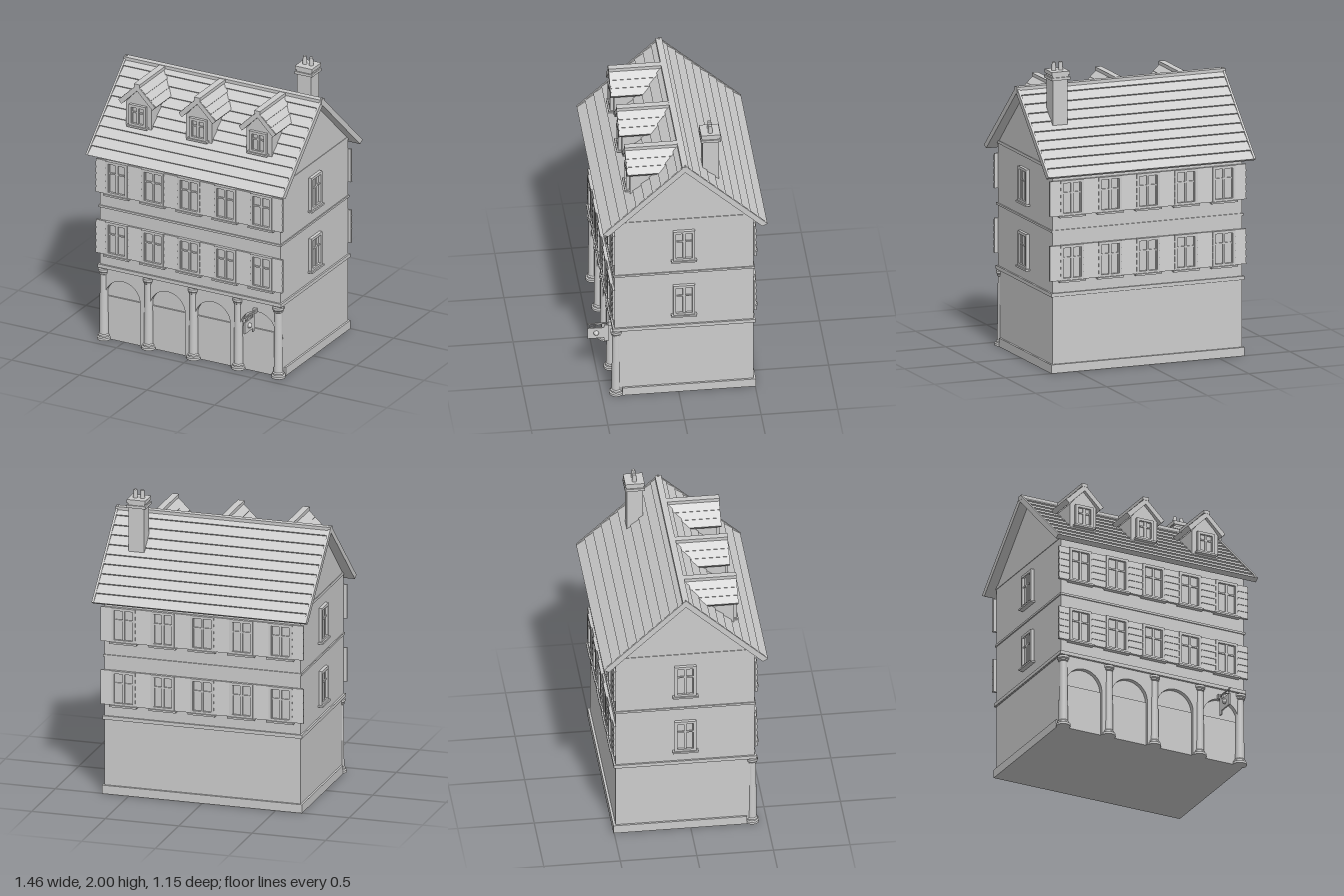
import * as THREE from 'three';

const stone = new THREE.MeshStandardMaterial({ color: 0xcccccc });
stone.name = 'pale grey stone';

const RIDGE_Z = -0.0375, SLOPE = 0.93;
const FRONT = 0.418, BACK = -0.49, HALF = 0.667;

function add(parent, name, geometry, x = 0, y = 0, z = 0) {
  const mesh = new THREE.Mesh(geometry, stone);
  mesh.name = name;
  mesh.position.set(x, y, z);
  parent.add(mesh);
  return mesh;
}

function box(parent, name, w, h, d, x, y, z) {
  return add(parent, name, new THREE.BoxGeometry(w, h, d), x, y, z);
}

function shapeOf(points) {
  return new THREE.Shape(points.map(([a, b]) => new THREE.Vector2(a, b)));
}

function extrude(shape, depth) {
  return new THREE.ExtrudeGeometry(shape, { depth, bevelEnabled: false, curveSegments: 16 });
}

// Profile drawn in (z, y), swept along x and centred
function extrudeX(points, width) {
  return extrude(shapeOf(points), width).translate(0, 0, -width / 2).rotateY(-Math.PI / 2);
}

// Framed casement window, standing on its sill and facing +z
function makeWindow(w, h) {
  const g = new THREE.Group();
  g.name = 'window';
  const t = 0.018;
  const frame = shapeOf([[-w / 2, 0], [w / 2, 0], [w / 2, h], [-w / 2, h]]);
  frame.holes.push(shapeOf([[-w / 2 + t, t], [-w / 2 + t, h - t], [w / 2 - t, h - t], [w / 2 - t, t]]));
  add(g, 'windowFrame', extrude(frame, 0.022));
  box(g, 'windowPane', w - 0.02, h - 0.02, 0.006, 0, h / 2, 0.003);
  box(g, 'windowMullion', 0.016, h - 0.03, 0.016, 0, h / 2, 0.008);
  box(g, 'windowTransom', w - 0.03, 0.01, 0.014, 0, h * 0.64, 0.007);
  for (const s of [-1, 1]) {
    box(g, 'sashStile', 0.006, h - 0.03, 0.013, s * (w / 2 - t - 0.002), h / 2, 0.0065);
  }
  box(g, 'windowSill', w + 0.024, 0.012, 0.032, 0, -0.003, 0.016);
  return g;
}

// One storey of five windows with louvred shutters between them
function makeStorey(y) {
  const g = new THREE.Group();
  g.name = 'storeyWindows';
  const xs = [-0.534, -0.267, 0, 0.267, 0.534], w = 0.16, h = 0.235;
  for (const x of xs) {
    const win = makeWindow(w, h);
    win.position.set(x, y, 0);
    g.add(win);
  }
  for (let i = 0; i <= xs.length; i++) {
    const a = i === 0 ? -0.69 : xs[i - 1] + w / 2;
    const b = i === xs.length ? 0.69 : xs[i] - w / 2;
    for (let k = 0; k < 5; k++) {
      const y0 = y + 0.002 + k * 0.0465, y1 = y0 + 0.0465;
      const board = extrudeX([[0, y0], [0.018, y0], [0.013, y1], [0, y1]], b - a);
      add(g, 'shutterBoard', board, (a + b) / 2);
    }
  }
  return g;
}

function makeColumn() {
  const profile = [[0, 0], [0.047, 0], [0.047, 0.016], [0.038, 0.022], [0.038, 0.032], [0.031, 0.04],
    [0.026, 0.46], [0.032, 0.465], [0.032, 0.474], [0.038, 0.482], [0.038, 0.498], [0, 0.498]];
  // Doubled corners keep the mouldings crisp
  const pts = profile.flatMap(([r, y]) => [new THREE.Vector2(r, y), new THREE.Vector2(r, y)]);
  return new THREE.LatheGeometry(pts, 20);
}

// Four-arched facade outline
function makeFacade() {
  const s = new THREE.Shape();
  s.moveTo(-HALF, 0);
  for (const x of [-0.5, -0.167, 0.167, 0.5]) {
    s.lineTo(x - 0.13, 0);
    s.lineTo(x - 0.13, 0.305);
    s.absarc(x, 0.305, 0.13, Math.PI, 0, true);
    s.lineTo(x + 0.13, 0);
  }
  s.lineTo(HALF, 0);
  s.lineTo(HALF, 1.36);
  s.lineTo(-HALF, 1.36);
  return extrude(s, 0.03);
}

function makeRoof() {
  const g = new THREE.Group();
  g.name = 'roof';
  const top = d => 1.82 - SLOPE * d, eave = 0.5375;
  const chevron = [[-eave, top(eave)], [-0.503, 1.302], [0, 1.77], [0.503, 1.302], [eave, top(eave)], [0, top(0)]];
  for (const s of [-1, 1]) {
    add(g, 'vergeBoard', extrudeX(chevron, 0.014), s * 0.723, 0, RIDGE_Z);
    // Overlapping tile courses
    const pts = [[0, 1.77]];
    const n = 10;
    for (let i = 0; i < n; i++) {
      const a = eave * i / n, b = eave * (i + 1) / n;
      pts.push([a - 0.007, top(a) - 0.0085], [b - 0.001, top(b) - 0.001]);
    }
    pts[1] = [0, top(0) - 0.012];
    pts.push([0.503, 1.302]);
    add(g, 'roofTiles', extrudeX(pts.map(([d, y]) => [s * d, y]), 1.435), 0, 0, RIDGE_Z);
  }
  box(g, 'ridgeCap', 1.464, 0.032, 0.042, 0, 1.798, RIDGE_Z);
  return g;
}

function makeDormer() {
  const g = new THREE.Group();
  g.name = 'dormer';
  const body = shapeOf([[-0.095, 1.45], [0.095, 1.45], [0.095, 1.66], [0, 1.775], [-0.095, 1.66]]);
  add(g, 'dormerBody', extrude(body, 0.3));
  for (const s of [-1, 1]) {
    const pts = [[0, 1.805], [s * 0.135, 1.672], [s * 0.114, 1.648], [0, 1.762]];
    add(g, 'dormerRoof', extrude(shapeOf(pts), 0.345), 0, 0, -0.02);
    // Narrow tile strips stepping down the slope
    for (let k = 0; k < 3; k++) {
      const a = 0.02 + k * 0.0383, b = a + 0.0383, y = x => 1.805 - 0.985 * x;
      add(g, 'dormerTileStrip', extrude(shapeOf([[s * a, y(a)], [s * (b + 0.003), y(b) + 0.002],
        [s * b, y(b) - 0.004], [s * a, y(a) - 0.004]]), 0.33), 0, 0, -0.01);
    }
  }
  box(g, 'dormerRidgeCap', 0.044, 0.022, 0.36, 0, 1.8, 0.147);
  const win = makeWindow(0.125, 0.148);
  win.position.set(0, 1.508, 0.3);
  g.add(win);
  return g;
}

function makeChimney() {
  const g = new THREE.Group();
  g.name = 'chimney';
  box(g, 'chimneyShaft', 0.105, 0.42, 0.105, 0, 1.68, 0);
  box(g, 'chimneyLowerBand', 0.13, 0.018, 0.13, 0, 1.899, 0);
  box(g, 'chimneyNeck', 0.112, 0.03, 0.112, 0, 1.912, 0);
  box(g, 'chimneyCap', 0.126, 0.024, 0.126, 0, 1.934, 0);
  for (const s of [-1, 1]) {
    add(g, 'chimneyPot', new THREE.CylinderGeometry(0.012, 0.016, 0.056, 14), s * 0.024, 1.972, 0);
  }
  return g;
}

function makeSign() {
  const g = new THREE.Group();
  g.name = 'hangingSign';
  box(g, 'signWallPlate', 0.026, 0.03, 0.02, 0, 0.445, 0.428);
  box(g, 'signBracket', 0.008, 0.008, 0.155, 0, 0.446, 0.4975);
  const strut = box(g, 'signStrut', 0.006, 0.006, 0.075, 0, 0.432, 0.515);
  strut.rotation.x = 0.35;
  box(g, 'signWallBar', 0.008, 0.125, 0.03, 0, 0.37, 0.448);
  for (const z of [0.48, 0.56]) box(g, 'signHanger', 0.004, 0.04, 0.004, 0, 0.425, z);
  box(g, 'signBoard', 0.01, 0.08, 0.108, 0, 0.373, 0.518);
  const boss = add(g, 'signBoss', new THREE.SphereGeometry(0.018, 16, 12), 0, 0.375, 0.516);
  boss.scale.x = 1.45;
  return g;
}

export function createModel() {
  const model = new THREE.Group();
  model.name = 'townHouse';

  // Walls
  const inner = FRONT - 0.03;
  add(model, 'houseBody', extrudeX([[BACK, 0], [inner, 0], [inner, 1.37], [RIDGE_Z, 1.78], [BACK, 1.355]], HALF * 2));
  add(model, 'arcadeFacade', makeFacade(), 0, 0, inner);
  for (const x of [-0.5, -0.167, 0.167, 0.5]) {
    box(model, 'arcadeDoor', 0.26, 0.305, 0.01, x, 0.1525, inner + 0.005);
  }

  // Plinth and string courses
  const midZ = (FRONT + BACK) / 2, depth = FRONT - BACK;
  box(model, 'plinthBack', HALF * 2 + 0.026, 0.058, 0.03, 0, 0.029, BACK);
  for (const s of [-1, 1]) box(model, 'plinthSide', 0.026, 0.058, 0.87, s * HALF, 0.029, -0.068);
  for (const [y, h, out] of [[0.518, 0.024, 0.012], [0.508, 0.008, 0.006], [0.94, 0.014, 0.008], [1.352, 0.02, 0.004]]) {
    box(model, 'stringCourse', (HALF + out) * 2, h, depth + out * 2, 0, y, midZ);
  }

  // Columns
  const column = makeColumn();
  for (const x of [-0.645, -0.315, 0.018, 0.35, 0.645]) add(model, 'column', column, x, 0, 0.404);

  // Windows on all four sides
  for (const y of [0.61, 1.04]) {
    const front = makeStorey(y), back = makeStorey(y);
    front.position.z = FRONT;
    back.position.z = BACK;
    back.rotation.y = Math.PI;
    model.add(front, back);
    for (const s of [-1, 1]) {
      const win = makeWindow(0.142, 0.232);
      win.position.set(s * HALF, y, -0.035);
      win.rotation.y = s * Math.PI / 2;
      model.add(win);
    }
  }

  // Roof, dormers, chimney and sign
  model.add(makeRoof());
  for (const x of [-0.445, 0, 0.445]) {
    const dormer = makeDormer();
    dormer.position.x = x;
    model.add(dormer);
  }
  const chimney = makeChimney();
  chimney.position.set(0.52, 0, -0.222);
  const sign = makeSign();
  sign.position.x = 0.485;
  model.add(chimney, sign);
  return model;
}
